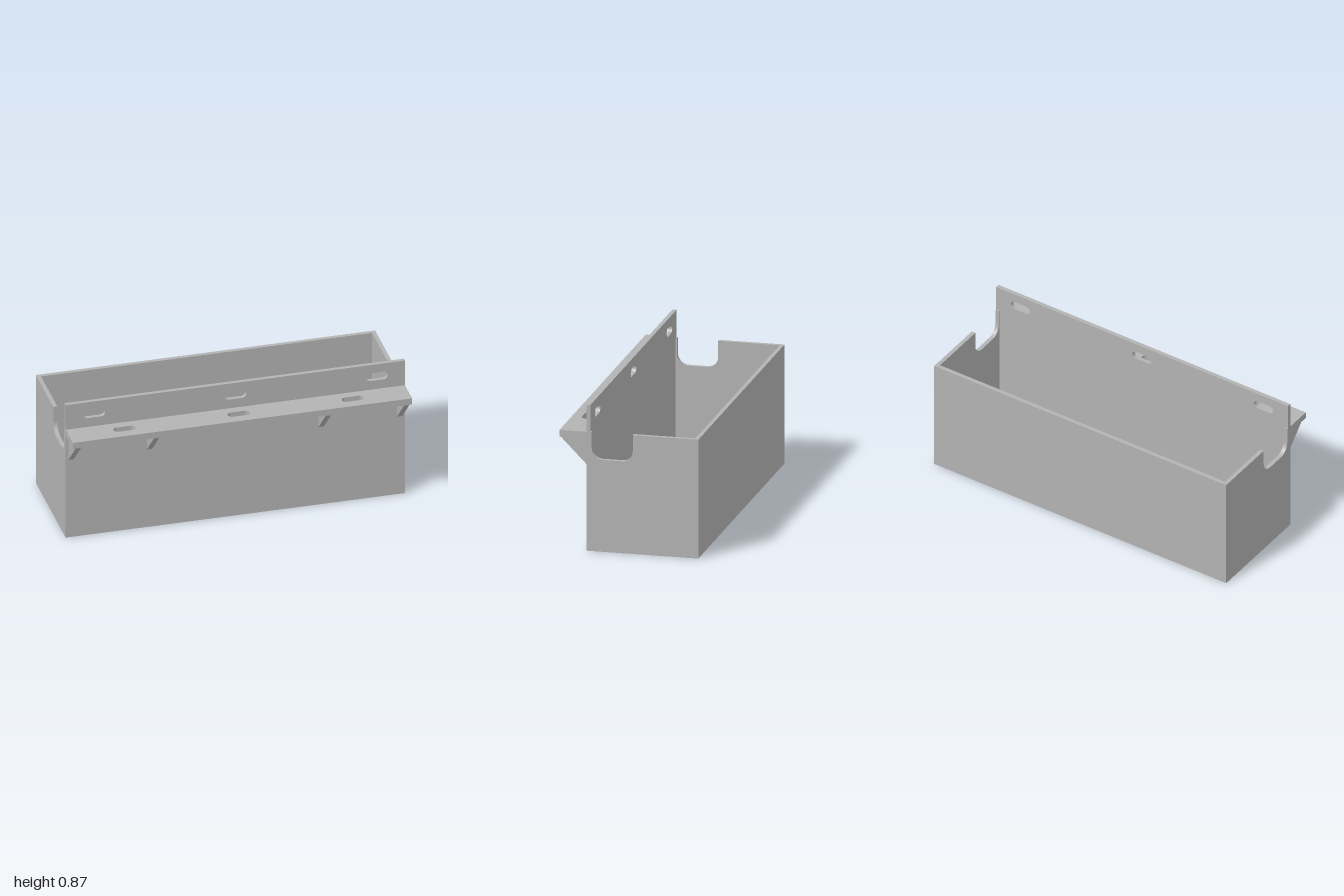
import * as THREE from 'three';

const T = 0.024;            // wall thickness
const BACK = -0.408, FRONT = 0.25, LIP = 0.408;
const RIM = 0.705, TOP = 0.866, SHELF_BOTTOM = 0.665;

const gray = new THREE.MeshStandardMaterial({ color: 0xb3b3b3 });
gray.name = 'plain gray';

function mesh(name, geometry, x = 0, y = 0, z = 0) {
  const m = new THREE.Mesh(geometry, gray);
  m.name = name;
  m.position.set(x, y, z);
  return m;
}

const extrude = (shape, depth) =>
  new THREE.ExtrudeGeometry(shape, { depth, bevelEnabled: false, curveSegments: 16 });

// Rectangular plate pierced by rounded slots at the given x positions
function slottedPlate(y0, y1, slotY, slotXs, depth) {
  const shape = new THREE.Shape();
  shape.moveTo(-1, y0).lineTo(1, y0).lineTo(1, y1).lineTo(-1, y1).closePath();
  const r = 0.025, half = 0.04;
  for (const x of slotXs) {
    const slot = new THREE.Path();
    slot.absarc(x + half, slotY, r, -Math.PI / 2, Math.PI / 2, false);
    slot.absarc(x - half, slotY, r, Math.PI / 2, Math.PI * 1.5, false);
    slot.closePath();
    shape.holes.push(slot);
  }
  return extrude(shape, depth);
}

// Side profile, drawn with shape x = -z, extruded along +x
const sideExtrude = (shape, depth) => extrude(shape, depth).rotateY(Math.PI / 2);

export function createModel() {
  const group = new THREE.Group();
  group.name = 'wall trough';

  // Open box: floor, back and tall slotted front
  const depth = FRONT - T - (BACK + T);
  group.add(mesh('floor', new THREE.BoxGeometry(2 - 2 * T, T, depth), 0, T / 2, (FRONT + BACK) / 2));
  group.add(mesh('backWall', new THREE.BoxGeometry(2 - 2 * T, RIM, T), 0, RIM / 2, BACK + T / 2));
  group.add(mesh('frontWall', slottedPlate(0, TOP, 0.787, [-0.833, 0, 0.833], T), 0, 0, FRONT - T));

  // End walls with a rounded notch in the rim
  const n0 = -0.218, n1 = 0.023, bottom = 0.545, r = 0.065;
  const side = new THREE.Shape();
  side.moveTo(-(FRONT - T), 0).lineTo(-BACK, 0).lineTo(-BACK, RIM).lineTo(n1, RIM);
  side.lineTo(n1, bottom + r);
  side.absarc(n1 - r, bottom + r, r, 0, -Math.PI / 2, true);
  side.absarc(n0 + r, bottom + r, r, -Math.PI / 2, -Math.PI, true);
  side.lineTo(n0, RIM).lineTo(-(FRONT - T), RIM).closePath();
  group.add(mesh('rightWall', sideExtrude(side, T), -1));
  group.add(mesh('leftWall', sideExtrude(side, T), 1 - T));

  // Horizontal slotted shelf on the front
  const shelf = slottedPlate(FRONT, LIP, 0.325, [-0.673, 0, 0.673], RIM - SHELF_BOTTOM);
  group.add(mesh('frontShelf', shelf.rotateX(Math.PI / 2), 0, RIM));

  // Triangular brackets below the shelf
  const w = 0.032;
  const tri = new THREE.Shape();
  tri.moveTo(-LIP, SHELF_BOTTOM).lineTo(-FRONT, 0.506).lineTo(-FRONT, SHELF_BOTTOM).closePath();
  for (const x of [-0.968, -0.506, 0.506, 0.968]) {
    group.add(mesh('shelfBracket', sideExtrude(tri, w), x - w / 2));
  }
  return group;
}
